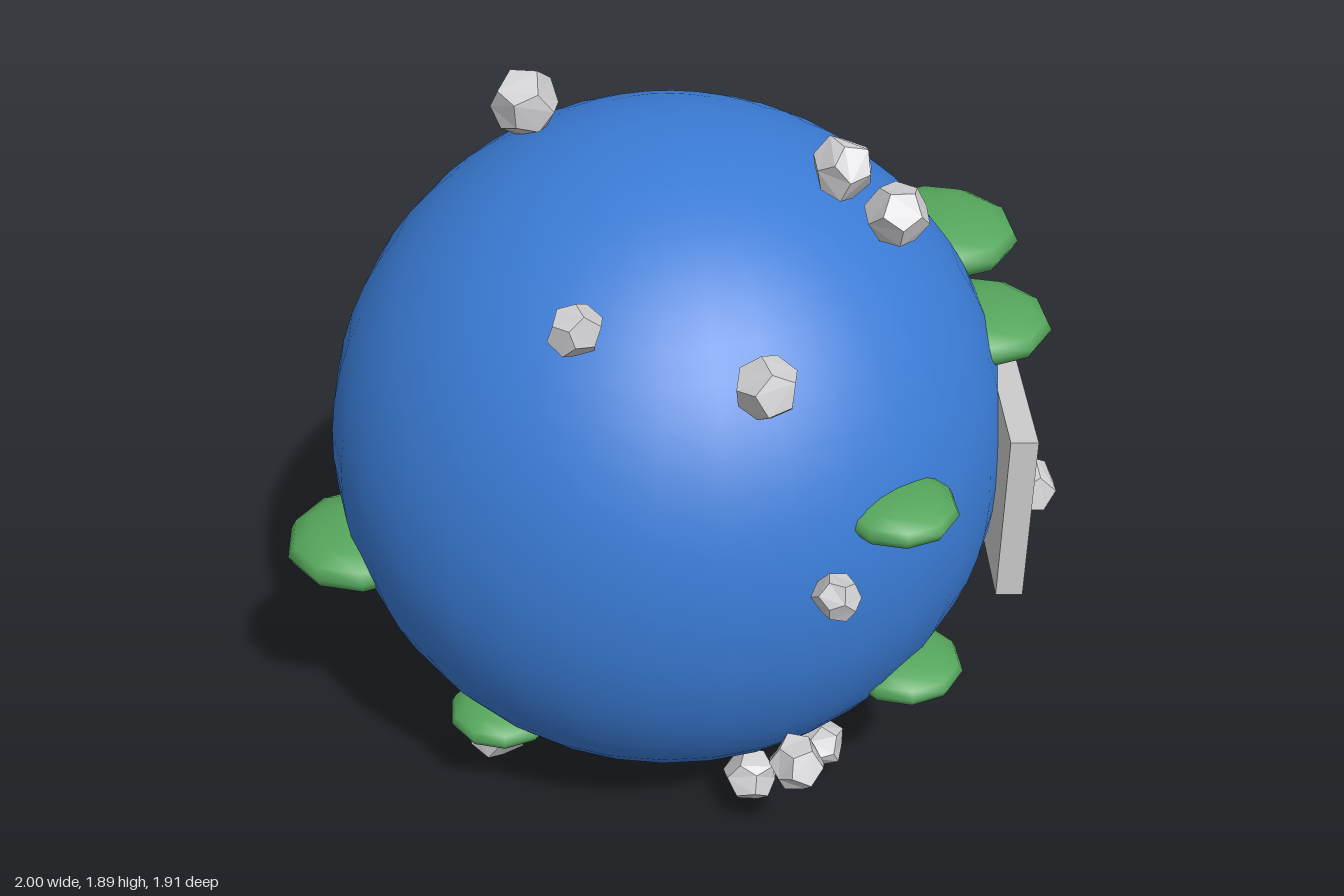
import * as THREE from 'three';

const CENTER = [-0.047, 0.914, 0.05];

function material(name, color, extra = {}) {
  const m = new THREE.MeshStandardMaterial({ color, ...extra });
  m.name = name;
  return m;
}

// small seeded random numbers, -0.5 to 0.5
function seeded(seed) {
  let s = seed * 7919 + 17;
  return () => {
    s = (s * 16807) % 2147483647;
    return s / 2147483647 - 0.5;
  };
}

// rough boulder: a dodecahedron whose shared corners are nudged together
function boulderGeometry(radius, seed) {
  const g = new THREE.DodecahedronGeometry(radius, 0);
  const rand = seeded(seed);
  for (let i = 0; i < 5; i++) rand();
  const p = g.attributes.position;
  const moved = new Map();
  const v = new THREE.Vector3();
  for (let i = 0; i < p.count; i++) {
    v.fromBufferAttribute(p, i);
    const key = v.toArray().map((n) => Math.round(n * 1e4)).join();
    if (!moved.has(key)) moved.set(key, 1.02 + rand() * 0.2);
    v.multiplyScalar(moved.get(key));
    p.setXYZ(i, v.x, v.y, v.z);
  }
  g.computeVertexNormals();
  return g;
}

export function createModel() {
  const model = new THREE.Group();
  model.name = 'planet';
  const ocean = material('ocean blue', 0x3a7bd5);
  const grass = material('grass green', 0x55a65c);
  const stone = material('stone grey', 0xcfcfd2, { flatShading: true });
  const panel = material('panel grey', 0xcccccc);
  const dark = material('window dark', 0x1c1c30);

  const add = (parent, name, geometry, mat, pos) => {
    const mesh = new THREE.Mesh(geometry, mat);
    mesh.name = name;
    mesh.position.set(...pos);
    parent.add(mesh);
    return mesh;
  };

  // globe
  add(model, 'globe', new THREE.SphereGeometry(0.905, 32, 32), ocean, CENTER);

  // flattened islands: x, y, z, radius
  const islandGeometry = new THREE.SphereGeometry(1, 10, 8);
  const islands = [
    [-0.79, 0.71, 0.46, 0.21],
    [-0.39, 0.28, 0.57, 0.148],
    [0.66, 0.475, 0.37, 0.16],
    [0.64, 1.122, 0.575, 0.15],
    [0.74, 1.21, -0.19, 0.2],
    [0.59, 1.335, -0.43, 0.228],
    [0.21, 0.745, -0.77, 0.195],
    [-0.66, 1.17, -0.52, 0.16],
    [-0.73, 0.535, -0.38, 0.15],
  ];
  islands.forEach(([x, y, z, r], i) => {
    add(model, 'island' + (i + 1), islandGeometry, grass, [x, y, z]).scale.set(r, r * 0.37, r);
  });

  // boulders: x, y, z, radius
  const boulders = [
    [-0.437, 1.8, -0.02, 0.092],
    [0.405, 1.773, 0.112, 0.08],
    [0.55, 1.677, 0.139, 0.082],
    [-0.107, 1.607, 0.72, 0.064],
    [0.34, 1.505, 0.715, 0.08],
    [0.538, 1.013, 0.813, 0.058],
    [0.438, 0.366, 0.697, 0.073],
    [0.283, 0.115, 0.5, 0.071],
    [0.438, 0.12, 0.338, 0.072],
    [-0.437, 0.147, 0.5, 0.092],
    [-0.32, 0.38, -0.723, 0.072],
    [0.922, 0.833, 0.005, 0.078],
  ];
  boulders.forEach(([x, y, z, r], i) => {
    const mesh = add(model, 'boulder' + (i + 1), boulderGeometry(r, i + 1), stone, [x, y, z]);
    mesh.rotation.set(i * 0.7, i * 1.3, 0);
  });

  // square hatch on the side with a dark window
  const hatch = new THREE.Group();
  hatch.name = 'hatch';
  hatch.position.set(0.861, 0.912, 0.047);
  hatch.rotation.y = 0.235;
  add(hatch, 'hatchPlate', new THREE.BoxGeometry(0.07, 0.478, 0.47), panel, [0, 0, 0]);
  add(hatch, 'hatchWindow', new THREE.BoxGeometry(0.009, 0.163, 0.163), dark, [0.036, 0, 0]);
  model.add(hatch);

  return model;
}
